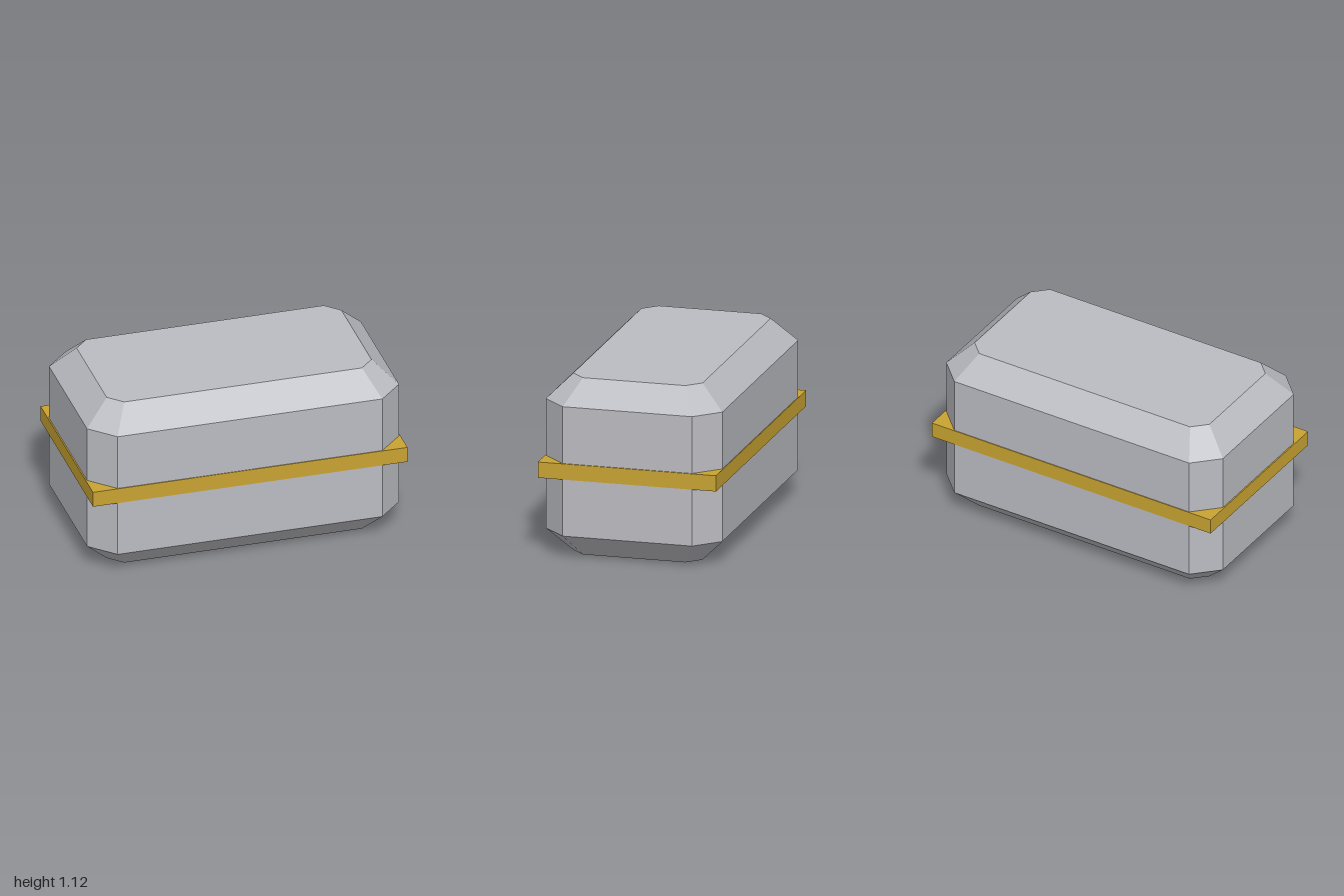
import * as THREE from 'three';

// Rectangle with cut corners at height y, listed counter-clockwise seen from above
function octagon(y, hx, hz, cut) {
  return [
    [hx, hz - cut], [hx, cut - hz], [hx - cut, -hz], [cut - hx, -hz],
    [-hx, cut - hz], [-hx, hz - cut], [cut - hx, hz], [hx - cut, hz],
  ].map(([x, z]) => new THREE.Vector3(x, y, z));
}

// Skin stacked rings (bottom to top) with flat faces and close both ends
function loftRings(rings) {
  const points = [];
  const n = rings[0].length;
  for (let r = 0; r < rings.length - 1; r++) {
    const low = rings[r], high = rings[r + 1];
    for (let i = 0; i < n; i++) {
      const j = (i + 1) % n;
      points.push(low[i], low[j], high[j], low[i], high[j], high[i]);
    }
  }
  const bottom = rings[0], top = rings[rings.length - 1];
  for (let i = 1; i < n - 1; i++) {
    points.push(top[0], top[i], top[i + 1]);
    points.push(bottom[0], bottom[i + 1], bottom[i]);
  }
  const geometry = new THREE.BufferGeometry().setFromPoints(points);
  geometry.computeVertexNormals();
  return geometry;
}

export function createModel() {
  const model = new THREE.Group();
  model.name = 'bandedCase';

  const greyMetal = new THREE.MeshStandardMaterial({ color: 0xbbbcc2 });
  greyMetal.name = 'grey metal';
  const gold = new THREE.MeshStandardMaterial({ color: 0xc9a332 });
  gold.name = 'gold';

  // Case body with bevelled edges all round
  const body = new THREE.Mesh(loftRings([
    octagon(0, 0.842, 0.41, 0.086),
    octagon(0.15, 0.992, 0.56, 0.15),
    octagon(0.97, 0.992, 0.56, 0.15),
    octagon(1.12, 0.842, 0.41, 0.086),
  ]), greyMetal);
  body.name = 'body';
  model.add(body);

  // Square-cornered band around the middle
  const band = new THREE.Mesh(new THREE.BoxGeometry(2, 0.1, 1.13), gold);
  band.name = 'band';
  band.position.y = 0.56;
  model.add(band);

  return model;
}
